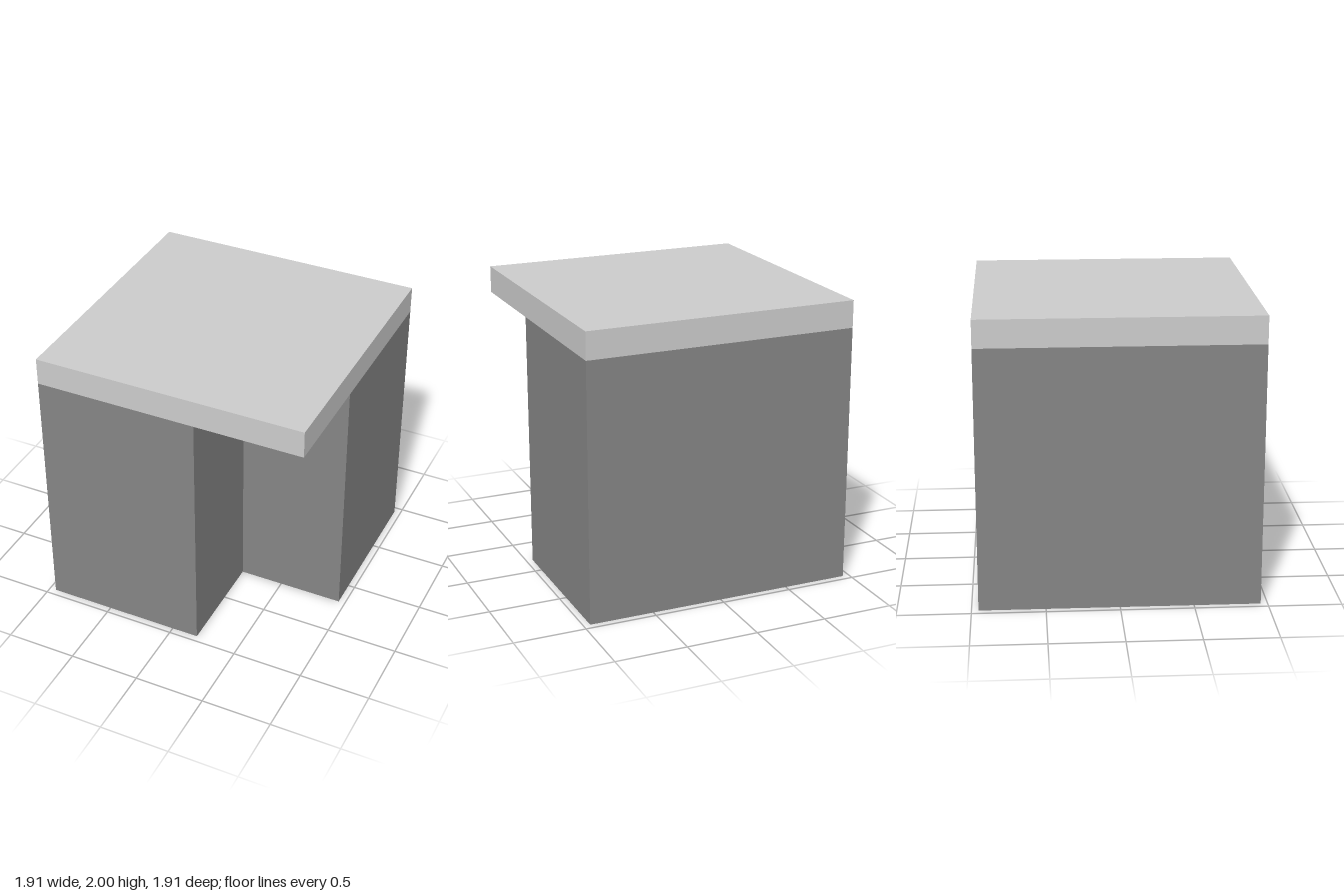
import * as THREE from 'three';

export function createModel() {
  const model = new THREE.Group();
  const wallGrey = new THREE.MeshStandardMaterial({ color: 0x858585 });
  wallGrey.name = 'wallGrey';
  const roofGrey = new THREE.MeshStandardMaterial({ color: 0xcccccc });
  roofGrey.name = 'roofGrey';

  const half = 0.953; // half the width and depth
  const notch = 0.19; // inner corner of the cut-out
  const wallTop = 1.81;

  // L-shaped body with the front left corner left open (shape y becomes -z)
  const plan = new THREE.Shape([
    [-half, -half], [notch, -half], [notch, -notch],
    [half, -notch], [half, half], [-half, half],
  ].map(([x, y]) => new THREE.Vector2(x, y)));
  const bodyGeometry = new THREE.ExtrudeGeometry(plan, { depth: wallTop, bevelEnabled: false });
  bodyGeometry.rotateX(-Math.PI / 2);
  const body = new THREE.Mesh(bodyGeometry, wallGrey);
  body.name = 'body';
  model.add(body);

  // Square roof slab overhanging the open corner
  const roof = new THREE.Mesh(new THREE.BoxGeometry(2 * half, 2 - wallTop, 2 * half), roofGrey);
  roof.name = 'roofSlab';
  roof.position.y = (2 + wallTop) / 2;
  model.add(roof);

  return model;
}
